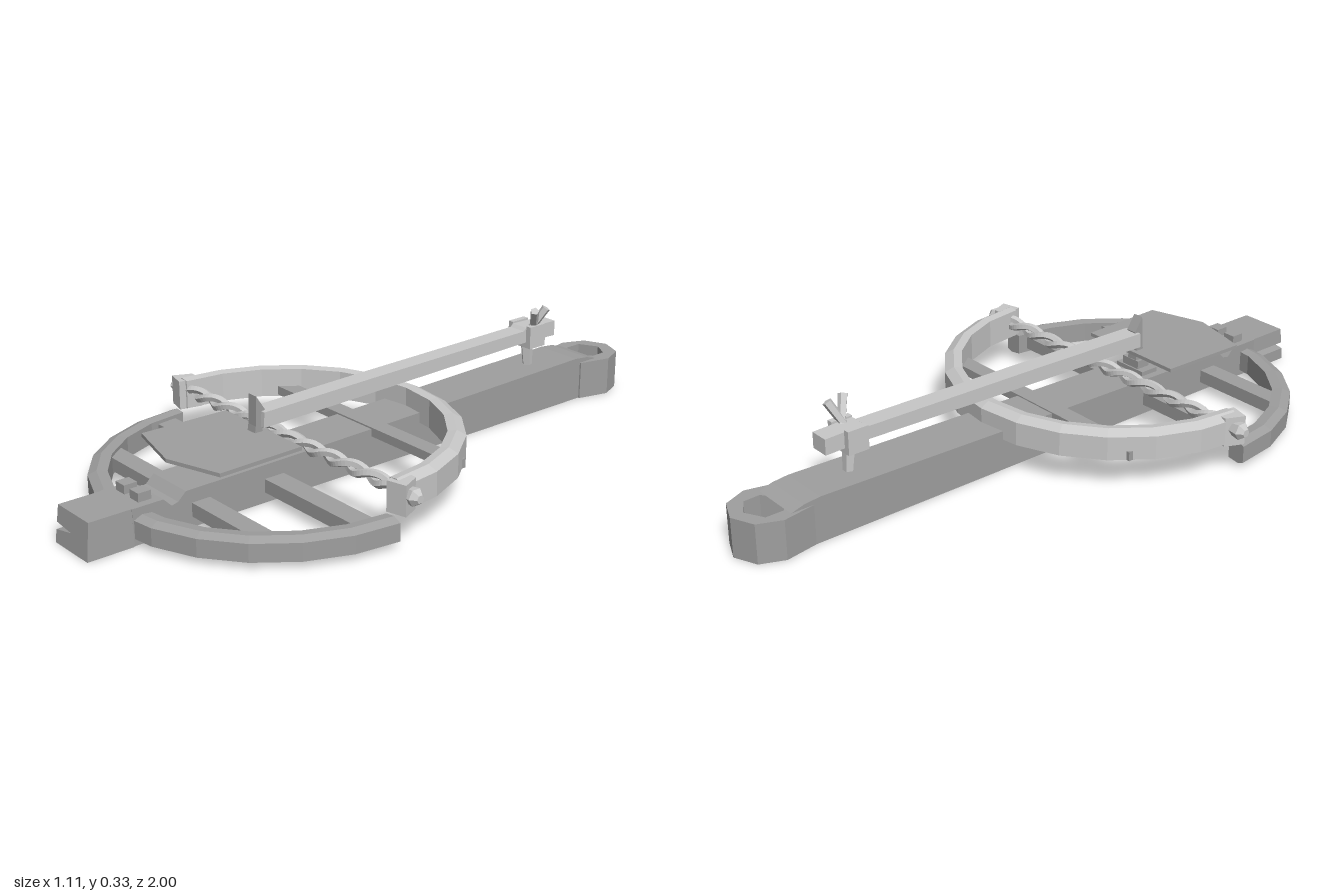
import * as THREE from 'three';

const dark = new THREE.MeshStandardMaterial({ color: 0x9f9f9f, flatShading: true, side: THREE.DoubleSide });
dark.name = 'weathered grey';
const light = new THREE.MeshStandardMaterial({ color: 0xc8c8c8, flatShading: true, side: THREE.DoubleSide });
light.name = 'pale grey';

const V = (x, y, z) => new THREE.Vector3(x, y, z);
const shapeOf = pts => new THREE.Shape(pts.map(p => new THREE.Vector2(p[0], p[1])));

export function createModel() {
  const root = new THREE.Group();
  root.name = 'jawTrap';

  const add = (name, geometry, material, parent = root) => {
    const m = new THREE.Mesh(geometry, material);
    m.name = name;
    parent.add(m);
    return m;
  };
  // Box given by its extents on each axis
  const box = (name, mat, x0, x1, y0, y1, z0, z1) =>
    add(name, new THREE.BoxGeometry(x1 - x0, y1 - y0, z1 - z0)
      .translate((x0 + x1) / 2, (y0 + y1) / 2, (z0 + z1) / 2), mat);
  // Side profile in (z, y), extruded from x0 to x1
  const side = (name, mat, pts, x0, x1) =>
    add(name, new THREE.ExtrudeGeometry(shapeOf(pts), { depth: x1 - x0, bevelEnabled: false })
      .rotateY(-Math.PI / 2).translate(x1, 0, 0), mat);
  // Plan outline in (x, z), extruded from y0 to y1
  const plan = (name, mat, pts, y0, y1, hole) => {
    const s = shapeOf(pts.map(([x, z]) => [x, -z]));
    if (hole) s.holes.push(new THREE.Path(hole.map(([x, z]) => new THREE.Vector2(x, -z))));
    return add(name, new THREE.ExtrudeGeometry(s, { depth: y1 - y0, bevelEnabled: false })
      .rotateX(-Math.PI / 2).translate(0, y0, 0), mat);
  };
  // Straight rod between two points
  const rod = (name, mat, a, b, r0, r1, sides) => {
    const d = b.clone().sub(a);
    const m = add(name, new THREE.CylinderGeometry(r1, r0, d.length(), sides), mat);
    m.position.copy(a).add(b).multiplyScalar(0.5);
    m.quaternion.setFromUnitVectors(V(0, 1, 0), d.normalize());
    return m;
  };
  // Half ring swept from a closed (radius, y) section, with end caps
  const jaw = (name, mat, section, start, z) => {
    const g = new THREE.Group();
    g.name = name;
    g.position.z = z;
    root.add(g);
    const pts = [...section, section[0]].map(p => new THREE.Vector2(p[0], p[1]));
    add(name + 'Ring', new THREE.LatheGeometry(pts, 12, start, Math.PI), mat, g);
    for (const a of [0, Math.PI])
      add(name + 'End', new THREE.ShapeGeometry(shapeOf(section)).rotateY(a), mat, g);
  };

  // Plank with a groove, and a split front end
  side('plank', dark, [[0.86, 0], [0.86, 0.105], [0.765, 0.105], [0.74, 0.08], [0.72, 0.085], [0.695, 0.108],
    [0.3, 0.113], [-0.2, 0.122], [-0.78, 0.135], [-0.83, 0.13], [-0.83, 0]], -0.083, 0.07);
  const front = new THREE.ExtrudeGeometry(shapeOf([[-0.083, 0], [0.073, 0], [0.068, 0.105], [-0.08, 0.105],
    [-0.082, 0.057], [-0.01, 0.05], [-0.083, 0.036]]), { depth: 0.14, bevelEnabled: false }).translate(0, 0, 0.86);
  const fp = front.attributes.position;
  for (let i = 0; i < fp.count; i++) // slant the front face back towards the top
    if (fp.getZ(i) > 0.9) fp.setZ(i, 1 - fp.getY(i) * 0.12);
  add('plankFrontEnd', front, dark);

  // Pierced end of the plank
  plan('hangingEye', dark, [[-0.083, -0.8], [-0.1, -0.9], [-0.07, -0.97], [0, -1], [0.07, -0.97], [0.1, -0.9], [0.075, -0.8]],
    0, 0.118, [[-0.057, -0.93], [0, -0.96], [0.05, -0.93], [0.052, -0.88], [0, -0.84], [-0.057, -0.875]]);
  side('eyeShoulder', dark, [[-0.78, 0.11], [-0.78, 0.135], [-0.83, 0.13], [-0.87, 0.118]], -0.083, 0.07);

  // Two pegs at the front
  for (const x of [-0.042, 0.025])
    box('frontPeg', dark, x - 0.02, x + 0.02, 0.1, 0.13, 0.785, 0.825);

  // Half-ring jaws
  jaw('lowerJaw', dark, [[0.465, 0.018], [0.5, 0.013], [0.52, 0.02], [0.52, 0.072], [0.495, 0.083], [0.465, 0.08]],
    -Math.PI / 2, 0.345);
  jaw('upperJaw', light, [[0.46, 0.09], [0.49, 0.085], [0.512, 0.095], [0.512, 0.165], [0.485, 0.18], [0.46, 0.176]],
    Math.PI / 2, 0.33);

  // Jaw ends and the pins through them
  for (const s of [-1, 1]) {
    const pts = [[s * 0.455, 0.28], [s * 0.505, 0.28], [s * 0.53, 0.335], [s * 0.47, 0.35]];
    plan('jawEnd', light, pts, 0.088, 0.176);
    rod('hingePin', light, V(s * 0.5, 0.14, 0.31), V(s * 0.54, 0.14, 0.31), 0.02, 0.026, 6);
    rod('hingePinTip', light, V(s * 0.54, 0.14, 0.31), V(s * 0.557, 0.14, 0.31), 0.026, 0.012, 6);
  }

  // Cross bars
  box('rearBar', dark, -0.405, 0.405, 0.095, 0.122, 0.01, 0.062);
  box('middleBar', dark, -0.46, 0.46, 0.03, 0.07, 0.375, 0.44);
  box('frontBar', dark, -0.375, 0.375, 0.03, 0.07, 0.62, 0.678);

  // Twisted cord of two strands
  for (const phase of [0, Math.PI]) {
    const pts = [];
    for (let i = 0; i <= 64; i++) {
      const a = phase + i * Math.PI / 6;
      pts.push(V(-0.48 + 0.96 * i / 64, 0.14 + 0.012 * Math.sin(a), 0.31 + 0.012 * Math.cos(a)));
    }
    add('cordStrand', new THREE.TubeGeometry(new THREE.CatmullRomCurve3(pts), 96, 0.012, 5), light);
  }

  // Bait plate, its support and the trigger post
  plan('baitPlate', dark, [[-0.183, 0.385], [0.165, 0.385], [0.172, 0.655], [0, 0.708], [-0.19, 0.66]], 0.17, 0.181);
  box('triggerBase', dark, -0.06, 0.05, 0.1, 0.125, 0.39, 0.45);
  box('triggerBlock', dark, -0.035, 0.03, 0.12, 0.15, 0.395, 0.44);
  side('triggerPost', dark, [[0.435, 0.12], [0.395, 0.12], [0.4, 0.2], [0.39, 0.243], [0.418, 0.286], [0.422, 0.2]], -0.024, 0.01);

  // Long holding arm
  side('holdingArm', light, [[0.405, 0.195], [0.402, 0.24], [0, 0.248], [-0.59, 0.256], [-0.6, 0.265], [-0.725, 0.262],
    [-0.725, 0.215], [-0.6, 0.218], [0, 0.204]], -0.034, 0.024);

  // Rear clamp around the arm, with its post and two prongs
  box('armClampSide', light, -0.052, -0.034, 0.205, 0.27, -0.665, -0.6);
  box('armClampSide', light, 0.024, 0.042, 0.205, 0.27, -0.665, -0.6);
  box('armClampBottom', light, -0.052, 0.042, 0.2, 0.218, -0.665, -0.6);
  rod('rearPost', light, V(-0.005, 0.12, -0.64), V(-0.005, 0.21, -0.632), 0.015, 0.02, 5);
  rod('prong', light, V(0.01, 0.245, -0.645), V(0.053, 0.325, -0.605), 0.012, 0.014, 5);
  rod('prong', light, V(0.01, 0.245, -0.625), V(0.045, 0.322, -0.662), 0.012, 0.014, 5);

  return root;
}
